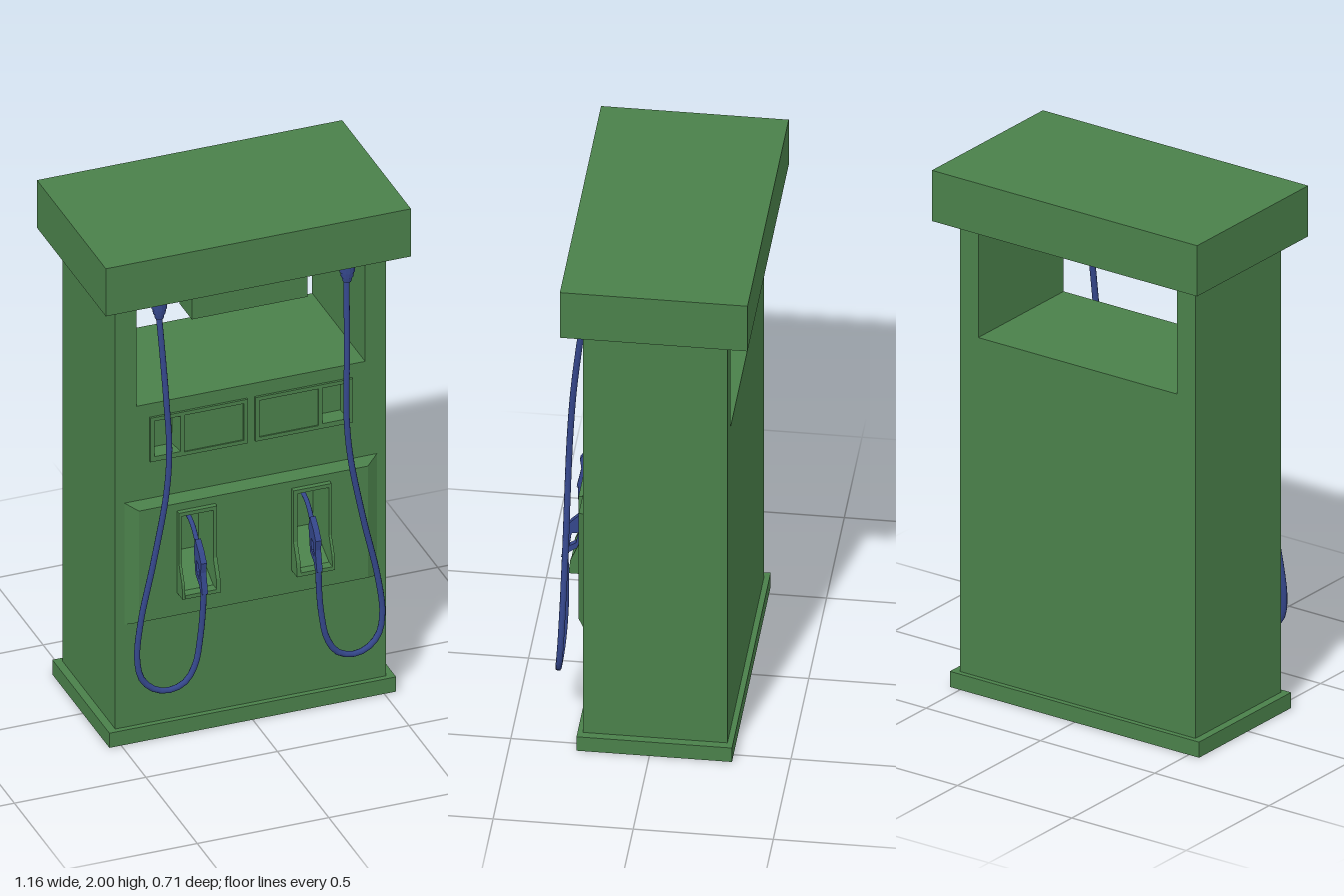
import * as THREE from 'three';

const green = new THREE.MeshStandardMaterial({ color: 0x4a804a });
const blue = new THREE.MeshStandardMaterial({ color: 0x34468a });

function add(parent, name, geometry, material = green) {
  const mesh = new THREE.Mesh(geometry, material);
  mesh.name = name;
  parent.add(mesh);
  return mesh;
}

// Box given by its limits on each axis
function box(x0, x1, y0, y1, z0, z1) {
  return new THREE.BoxGeometry(x1 - x0, y1 - y0, z1 - z0)
    .translate((x0 + x1) / 2, (y0 + y1) / 2, (z0 + z1) / 2);
}

// Rectangle [x0, x1, y0, y1], mirrored to the right side when s is -1
const side = (s, a, b, y0, y1) => (s > 0 ? [a, b, y0, y1] : [-b, -a, y0, y1]);

const corners = ([x0, x1, y0, y1]) => [[x0, y0], [x1, y0], [x1, y1], [x0, y1]];

function plateShape(outer, holes) {
  const pts = (r) => corners(r).map((p) => new THREE.Vector2(...p));
  const shape = new THREE.Shape(pts(outer));
  holes.forEach((h) => shape.holes.push(new THREE.Path(pts(h))));
  return shape;
}

// Plate with rectangular holes, from z0 to z1
function plate(outer, holes, z0, z1) {
  return new THREE.ExtrudeGeometry(plateShape(outer, holes), { depth: z1 - z0, bevelEnabled: false })
    .translate(0, 0, z0);
}

// Sloped walls between two rectangles, with an optional face at the second
function loft(ra, za, rb, zb, cap) {
  const a = corners(ra).map((p) => [...p, za]);
  const b = corners(rb).map((p) => [...p, zb]);
  const pos = [];
  const quad = (p, q, r, t) => pos.push(...p, ...q, ...r, ...p, ...r, ...t);
  for (let i = 0; i < 4; i++) {
    const j = (i + 1) % 4;
    quad(a[i], a[j], b[j], b[i]);
  }
  if (cap) quad(...b);
  const g = new THREE.BufferGeometry();
  g.setAttribute('position', new THREE.Float32BufferAttribute(pos, 3));
  g.computeVertexNormals();
  return g;
}

// Side profile of [z, y] points extruded across x0..x1
function profile(points, x0, x1, hole) {
  const pts = (list) => list.map(([z, y]) => new THREE.Vector2(-z, y));
  const shape = new THREE.Shape(pts(points));
  if (hole) shape.holes.push(new THREE.Path(pts(hole)));
  return new THREE.ExtrudeGeometry(shape, { depth: x1 - x0, bevelEnabled: false })
    .rotateY(Math.PI / 2).translate(x0, 0, 0);
}

function tube(points, radius, segments) {
  const curve = new THREE.CatmullRomCurve3(points.map((p) => new THREE.Vector3(...p)));
  return new THREE.TubeGeometry(curve, segments, radius, 8);
}

export function createModel() {
  const pump = new THREE.Group();
  pump.name = 'fuelPump';

  const holster = (s) => side(s, 0.16, 0.28, 0.6, 0.905);
  const slot = (s) => side(s, 0.27, 0.37, 1.15, 1.295);
  const holsters = [holster(-1), holster(1)];

  // Cabinet
  add(pump, 'base', box(-0.545, 0.545, 0, 0.06, -0.295, 0.26));
  add(pump, 'cabinet', box(-0.515, 0.515, 0.06, 1.365, -0.275, 0.12));
  add(pump, 'cabinetFront', plate([-0.515, 0.515, 0.06, 1.365], [...holsters, slot(-1), slot(1)], 0.12, 0.24));
  add(pump, 'roof', box(-0.58, 0.58, 1.805, 2, -0.355, 0.315));
  add(pump, 'hangingSign', profile([[0.23, 1.67], [0.23, 1.805], [0.07, 1.805], [0.11, 1.67]], -0.22, 0.22));

  // Raised lower panel with chamfered edges
  const panelFace = [-0.435, 0.435, 0.493, 0.95];
  add(pump, 'lowerPanelEdge', loft([-0.48, 0.48, 0.48, 0.978], 0.24, panelFace, 0.266, false));
  add(pump, 'lowerPanelFace', new THREE.ShapeGeometry(plateShape(panelFace, holsters)).translate(0, 0, 0.266));

  for (const s of [-1, 1]) {
    const half = new THREE.Group();
    half.name = s > 0 ? 'leftSide' : 'rightSide';
    pump.add(half);

    const [p0, p1] = side(s, 0.435, 0.515);
    add(half, 'post', box(p0, p1, 1.365, 1.805, -0.275, 0.24));

    // Display panel with a card slot
    const screen = side(s, 0.03, 0.255, 1.145, 1.295);
    add(half, 'displayPanel', plate(side(s, 0.015, 0.385, 1.13, 1.31), [slot(s), screen], 0.24, 0.249));
    add(half, 'displayScreen', plate(screen, [], 0.235, 0.244));
    add(half, 'cardSlot', loft(slot(s), 0.249, side(s, 0.28, 0.36, 1.155, 1.26), 0.19, true));

    // Nozzle holster: frame, tapered pocket and projecting cradle
    add(half, 'holsterFrame', plate(side(s, 0.145, 0.29, 0.585, 0.92), [holster(s)], 0.24, 0.285));
    add(half, 'holsterPocket', loft(holster(s), 0.285, side(s, 0.172, 0.265, 0.7, 0.86), 0.17, true));
    const cheek = [[0.285, 0.585], [0.32, 0.585], [0.315, 0.64], [0.285, 0.71]];
    for (const [a, b] of [[0.145, 0.16], [0.28, 0.29]]) {
      const [c0, c1] = side(s, a, b);
      add(half, 'holsterCheek', profile(cheek, c0, c1));
    }
    const [l0, l1] = side(s, 0.16, 0.28);
    add(half, 'holsterLip', box(l0, l1, 0.585, 0.6, 0.285, 0.32));

    // Nozzle: grip with trigger guard, and spout
    const n = s * 0.218;
    const grip = [[0.355, 0.61], [0.338, 0.69], [0.343, 0.73], [0.32, 0.765], [0.285, 0.8],
      [0.272, 0.76], [0.288, 0.66], [0.325, 0.635], [0.335, 0.61]];
    const guard = [[0.326, 0.66], [0.302, 0.675], [0.294, 0.72], [0.318, 0.715]];
    add(half, 'nozzleGrip', profile(grip, n - 0.011, n + 0.011, guard), blue);
    add(half, 'nozzleSpout', tube([[n, 0.765, 0.29], [n, 0.81, 0.255], [n, 0.835, 0.225], [n, 0.85, 0.18]], 0.009, 10), blue);

    // Hose connector under the roof
    const rings = [[0, 1.725], [0.016, 1.725], [0.02, 1.745], [0.023, 1.745], [0.025, 1.765], [0.028, 1.765], [0.028, 1.805]];
    const connector = add(half, 'hoseConnector',
      new THREE.LatheGeometry(rings.map((p) => new THREE.Vector2(...p)), 12), blue);
    connector.geometry = connector.geometry.toNonIndexed();
    connector.geometry.computeVertexNormals();
    connector.position.set(s * 0.357, 0, 0.263);

    // Hanging hose loop
    const path = [[0.357, 1.74, 0.258], [0.351, 1.6, 0.276], [0.343, 1.4, 0.297], [0.337, 1.2, 0.31],
      [0.35, 1.03, 0.315], [0.4, 0.76, 0.318], [0.45, 0.53, 0.322], [0.466, 0.38, 0.328],
      [0.45, 0.3, 0.335], [0.405, 0.255, 0.342], [0.35, 0.242, 0.345], [0.29, 0.262, 0.344],
      [0.25, 0.325, 0.341], [0.23, 0.43, 0.338], [0.221, 0.53, 0.339], [0.218, 0.625, 0.342]];
    add(half, 'hose', tube(path.map(([x, y, z]) => [s * x, y, z]), 0.0115, 64), blue);
  }
  return pump;
}
